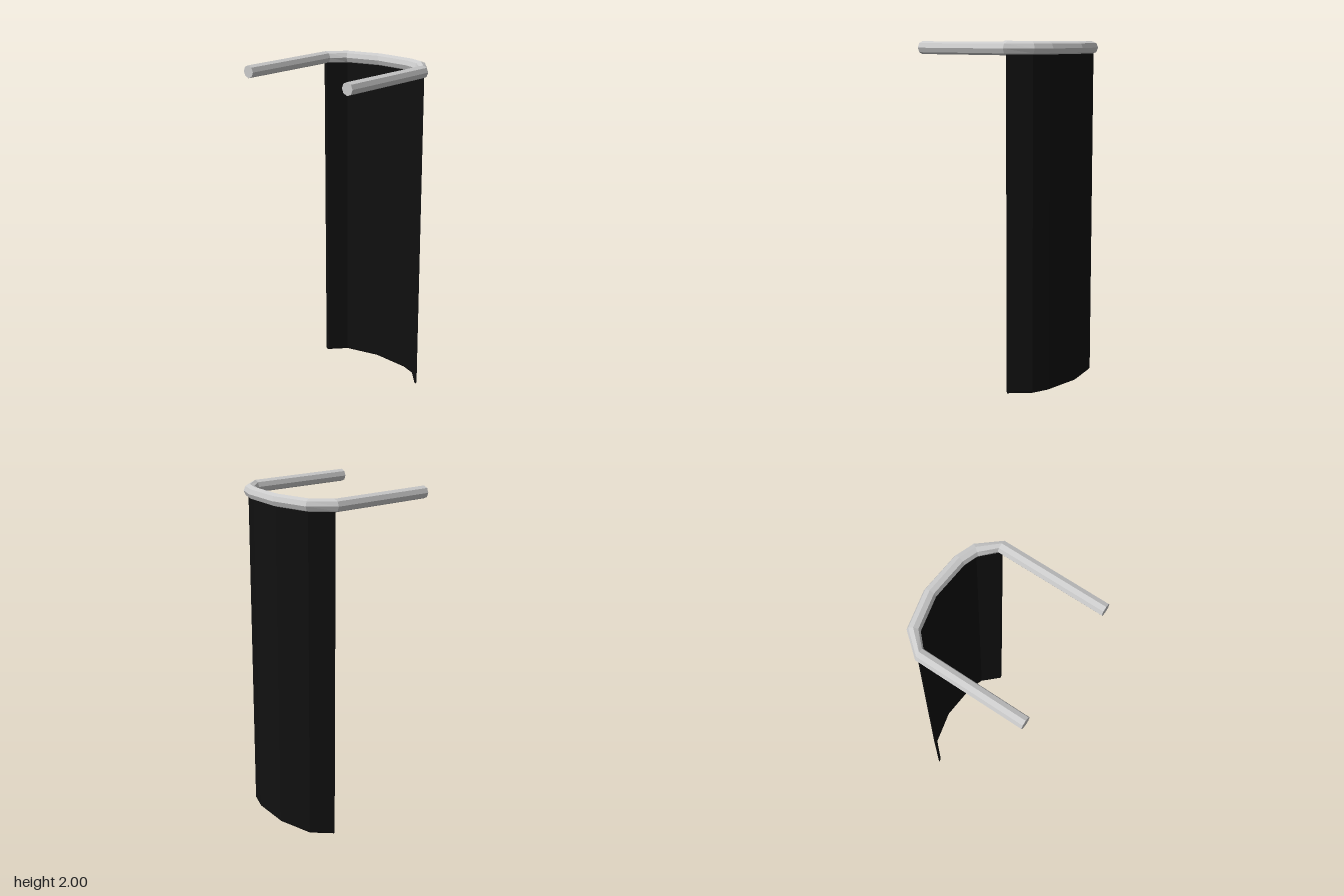
import * as THREE from 'three';

const TOP = 1.963; // height of the rail centre line

// Curved part of the rail, in plan [x, z]
const ARC = [
  [-0.371, -0.23], [-0.279, -0.332], [-0.0625, -0.384],
  [0.178, -0.367], [0.276, -0.332], [0.371, -0.23],
];

// Sweeps a convex profile [sideways, up] along a level path and caps both ends.
// Inner sections face along the line between their neighbours; arc ends face along z.
function sweep(path, profile) {
  const n = profile.length;
  const positions = [];
  const index = [];
  path.forEach(([x, z], i) => {
    const [ax, az] = path[Math.max(i - 1, 0)];
    const [bx, bz] = path[Math.min(i + 1, path.length - 1)];
    let t = new THREE.Vector2(bx - ax, bz - az).normalize();
    if (Math.abs(x) > 0.37) t = new THREE.Vector2(0, Math.sign(x)); // straight legs
    for (const [u, v] of profile) positions.push(x - t.y * u, v, z + t.x * u);
  });
  for (let i = 0; i < path.length - 1; i++) {
    for (let j = 0; j < n; j++) {
      const a = i * n + j, b = i * n + (j + 1) % n;
      index.push(a, a + n, b, b, a + n, b + n);
    }
  }
  const end = (path.length - 1) * n;
  for (let j = 1; j < n - 1; j++) {
    index.push(0, j, j + 1, end, end + j + 1, end + j);
  }
  const geometry = new THREE.BufferGeometry();
  geometry.setAttribute('position', new THREE.Float32BufferAttribute(positions, 3));
  geometry.setIndex(index);
  geometry.computeVertexNormals();
  return geometry;
}

export function createModel() {
  const group = new THREE.Group();
  group.name = 'curtainOnRail';

  // Eight-sided rail: two straight arms joined by the curved back
  const octagon = Array.from({ length: 8 }, (_, i) => {
    const a = (i * Math.PI) / 4;
    return [0.037 * Math.cos(a), TOP + 0.037 * Math.sin(a)];
  });
  const rail = new THREE.Mesh(
    sweep([[-0.371, 0.418], ...ARC, [0.371, 0.418]], octagon),
    new THREE.MeshStandardMaterial({ color: 0xcccccc, flatShading: true }),
  );
  rail.name = 'rail';
  group.add(rail);

  // Thin curtain hanging from the curved back, with a bevelled hem
  const h = 0.01;
  const slab = [[-h / 2, 0], [h / 2, 0], [h, 0.01], [h, TOP], [-h, TOP], [-h, 0.01]];
  const curtain = new THREE.Mesh(
    sweep(ARC, slab),
    new THREE.MeshStandardMaterial({ color: 0x101010, flatShading: true }),
  );
  curtain.name = 'curtain';
  group.add(curtain);

  return group;
}
